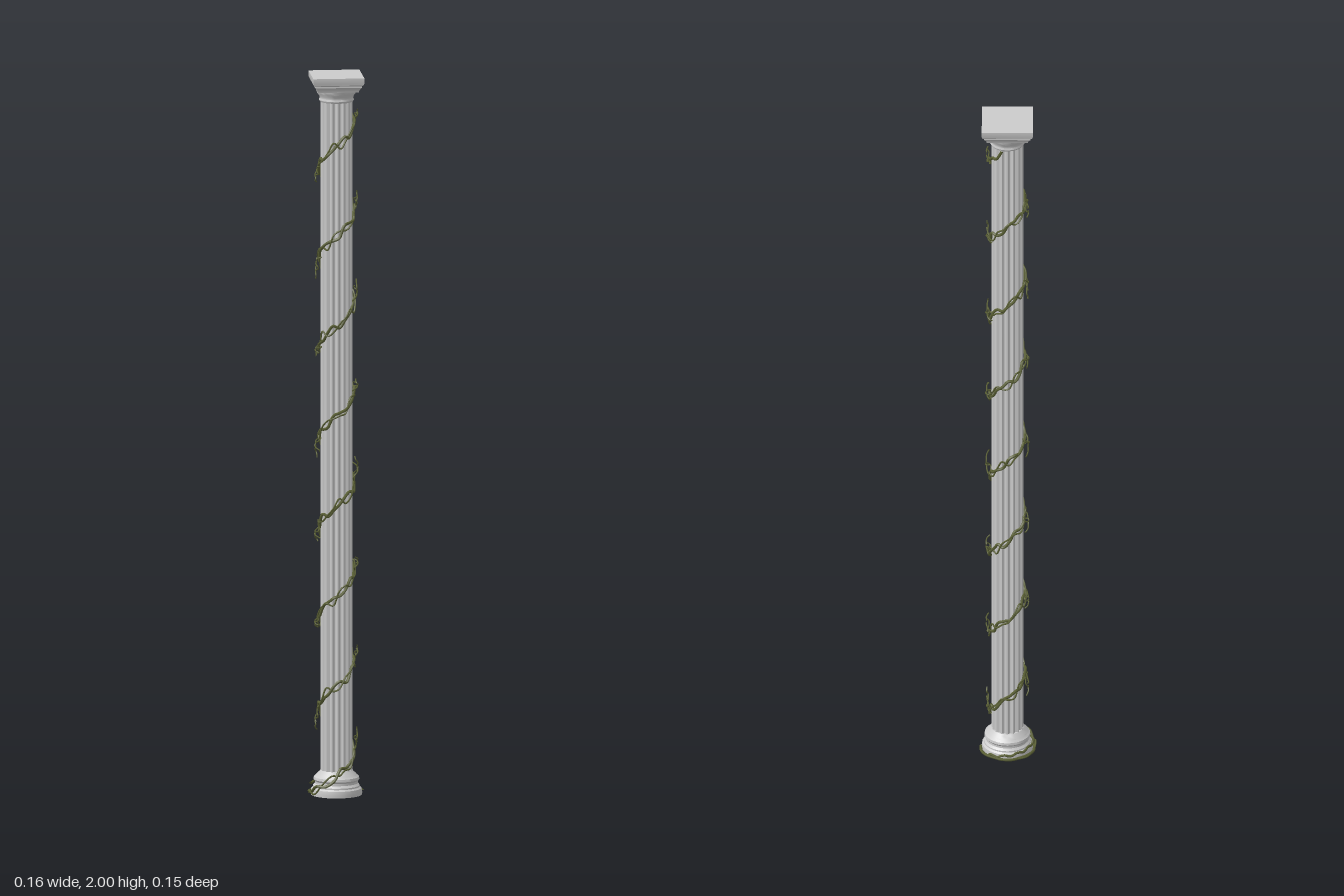
import * as THREE from 'three';
import { toCreasedNormals } from 'three/addons/utils/BufferGeometryUtils.js';

const PITCH = 0.25; // rise of the vine per turn
const SHAFT_R = 0.044;
const stone = new THREE.MeshStandardMaterial({ color: 0xcccccc });
const vineMat = new THREE.MeshStandardMaterial({ color: 0x5c6236 });

function addMesh(parent, name, geometry, material) {
  const mesh = new THREE.Mesh(geometry, material);
  mesh.name = name;
  parent.add(mesh);
  return mesh;
}

function lathe(points, segments) {
  const profile = points.map(([r, y]) => new THREE.Vector2(r, y));
  return toCreasedNormals(new THREE.LatheGeometry(profile, segments), 0.6);
}

// Square moulding: a four-sided lathe turned so its sides face the axes
function squareMoulding(points) {
  const scaled = points.map(([half, y]) => [half * Math.SQRT2, y]);
  return lathe(scaled, 4).rotateY(Math.PI / 4);
}

// Shaft section with concave flutes separated by narrow flat fillets
function flutedShaft(y0, y1, flutes) {
  const pts = [];
  const step = (Math.PI * 2) / flutes;
  for (let i = 0; i < flutes; i++) {
    for (let j = 0; j <= 6; j++) {
      const t = j / 6;
      const a = (i + 0.1 + 0.8 * t) * step;
      const r = SHAFT_R - 0.0055 * Math.sin(Math.PI * t);
      pts.push(new THREE.Vector2(Math.cos(a) * r, Math.sin(a) * r));
    }
  }
  const geo = new THREE.ExtrudeGeometry(new THREE.Shape(pts), { depth: y1 - y0, bevelEnabled: false });
  geo.rotateX(-Math.PI / 2).translate(0, y0, 0);
  return toCreasedNormals(geo, 0.5);
}

// Point on the column surface at an angle from the front, turning towards +x
function around(angle, radius, y) {
  return new THREE.Vector3(Math.sin(angle) * radius, y, Math.cos(angle) * radius);
}

function stemTube(points, radius, segments) {
  return new THREE.TubeGeometry(new THREE.CatmullRomCurve3(points), segments, radius, 5);
}

// Radius that clears the base mouldings near the ground
function clearance(y) {
  return SHAFT_R + 0.027 * (1 - THREE.MathUtils.smoothstep(y, 0.03, 0.08));
}

// Irregular winding stem; phase makes every strand different
function windingStem(from, to, phase, offset, wobble) {
  const pts = [];
  const count = Math.round((to - from) * 18);
  for (let i = 0; i <= count; i++) {
    const turn = from + ((to - from) * i) / count;
    const a = turn * Math.PI * 2;
    const wave = Math.sin(a * 4.3 + phase) * 0.6 + Math.sin(a * 7.1 + phase * 2) * 0.4;
    const y = Math.max(0.007, 0.06 + PITCH * turn + wobble * wave);
    pts.push(around(a, clearance(y) + offset + 0.002 * Math.sin(a * 5.7 + phase), y));
  }
  return pts;
}

export function createModel() {
  const model = new THREE.Group();
  model.name = 'vineColumn';

  const column = new THREE.Group();
  column.name = 'column';
  column.position.z = 0.003;
  model.add(column);

  // Round base
  addMesh(column, 'base', lathe([
    [0, 0], [0.07, 0], [0.071, 0.006], [0.069, 0.018], [0.064, 0.022], [0.064, 0.026],
    [0.059, 0.032], [0.059, 0.038], [0.063, 0.043], [0.062, 0.05], [0.056, 0.055],
    [0.054, 0.058], [0.048, 0.063], [0.044, 0.068], [0, 0.068],
  ], 32), stone);

  // Fluted shaft
  addMesh(column, 'shaft', flutedShaft(0.06, 1.94, 16), stone);

  // Round neck below the square capital
  addMesh(column, 'neck', lathe([
    [0, 1.926], [0.045, 1.926], [0.048, 1.931], [0.046, 1.936], [0.047, 1.942],
    [0.053, 1.95], [0.056, 1.958], [0.056, 1.963], [0, 1.963],
  ], 32), stone);
  addMesh(column, 'capital', squareMoulding([
    [0, 1.959], [0.056, 1.959], [0.058, 1.966], [0.064, 1.973], [0.064, 1.977],
    [0.068, 1.98], [0.07, 1.986], [0.07, 2], [0, 2],
  ]), stone);

  // Vine winding up the shaft, with a thinner companion strand
  const vine = new THREE.Group();
  vine.name = 'vine';
  vine.position.z = 0.001;
  model.add(vine);
  addMesh(vine, 'mainStem', stemTube(windingStem(-0.75, 7.45, 0.4, 0.0035, 0.013), 0.0042, 900), vineMat);
  addMesh(vine, 'thinStem', stemTube(windingStem(-0.55, 7.3, 2.6, 0.006, 0.019), 0.0025, 900), vineMat);

  // Stem lying round the back of the base
  const root = [];
  for (let i = 0; i <= 16; i++) {
    const a = Math.PI * (0.75 + i * 0.045);
    root.push(around(a, 0.072, 0.009 + 0.0015 * i + 0.003 * Math.sin(i * 1.7)));
  }
  addMesh(vine, 'rootStem', stemTube(root, 0.0035, 60), vineMat);

  // Tendrils on both sides of every turn: hanging on the left, climbing on the right
  for (let k = 0; k < 8; k++) {
    for (const [turn, dir] of [[k + 0.25, 1], [k - 0.25, -1]]) {
      const startY = 0.06 + PITCH * turn;
      if (startY < 0.1 || startY > 1.9) continue;
      const length = Math.min(0.05 + 0.02 * Math.sin(k * 2.4 + dir), 1.925 - startY);
      for (let s = 0; s < 2; s++) {
        const pts = [];
        for (let i = 0; i <= 8; i++) {
          const t = i / 8;
          const a = turn * Math.PI * 2 + 0.25 * Math.sin(t * 9 + k + s * 2) + (s - 0.5) * 0.5;
          const r = SHAFT_R + 0.004 + 0.011 * Math.sin(t * Math.PI * 0.8) + 0.002 * Math.sin(t * 14 + k);
          pts.push(around(a, r, startY + dir * t * length * (1 - 0.35 * s)));
        }
        addMesh(vine, 'tendril', stemTube(pts, 0.002, 24), vineMat);
      }
    }
  }
  return model;
}
